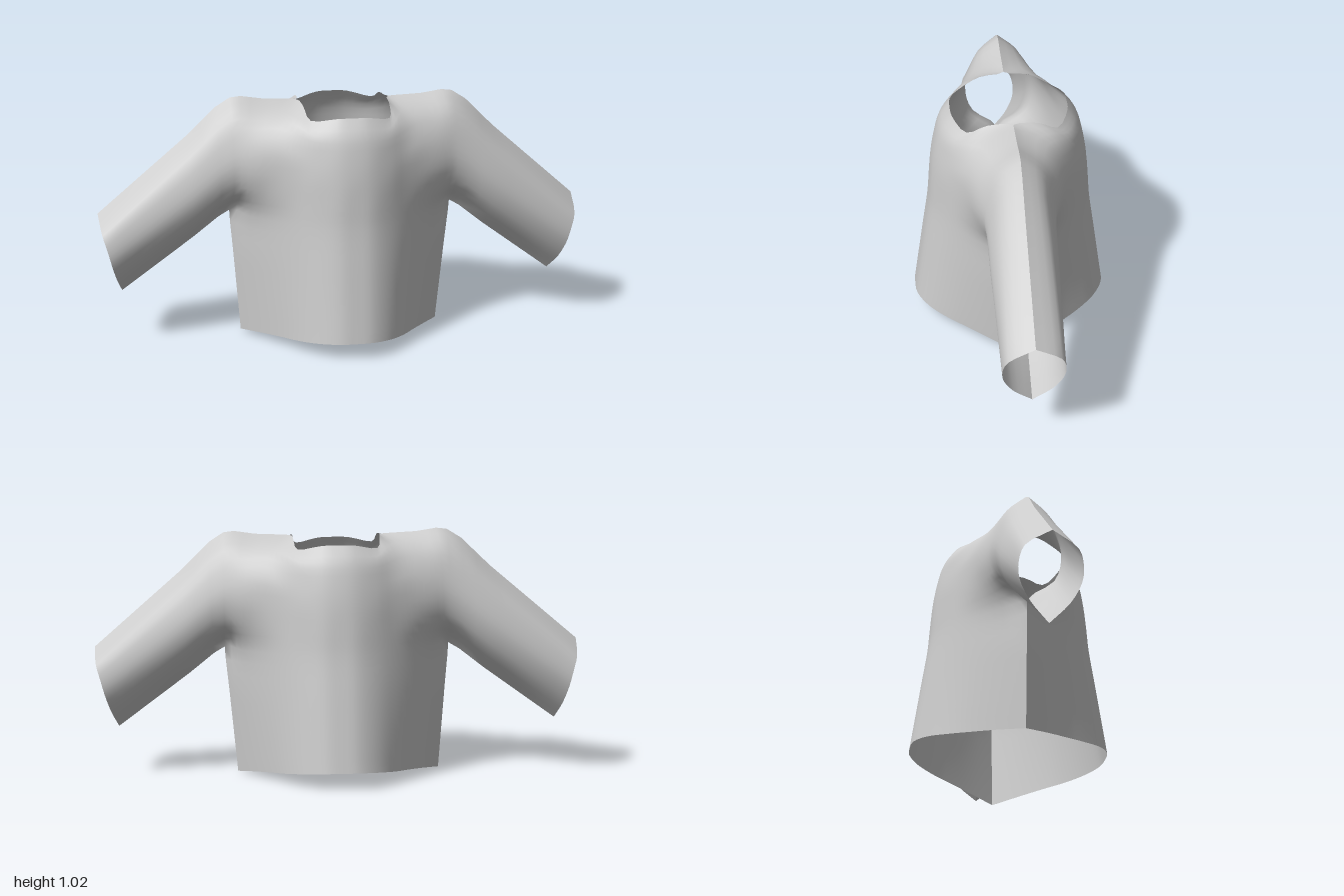
import * as THREE from 'three';

const STEPS = 3; // subdivisions between neighbouring control points
const ARMPIT_ROW = 5;
const V = (p) => new THREE.Vector3(...p);

// Control columns from the centre line out to the armpit, each from the neck or shoulder seam down to armpit height
const BODY = [
  [[0, 0.965, 0.235], [0, 0.9, 0.28], [0, 0.82, 0.302], [0, 0.73, 0.317], [0, 0.63, 0.325], [0, 0.53, 0.333]],
  [[0.065, 0.963, 0.23], [0.07, 0.9, 0.272], [0.07, 0.82, 0.295], [0.07, 0.73, 0.31], [0.07, 0.63, 0.32], [0.07, 0.53, 0.328]],
  [[0.16, 0.947, 0.18], [0.155, 0.9, 0.235], [0.15, 0.82, 0.262], [0.15, 0.73, 0.278], [0.15, 0.63, 0.285], [0.15, 0.53, 0.292]],
  [[0.176, 0.985, 0.1], [0.21, 0.925, 0.18], [0.22, 0.82, 0.222], [0.22, 0.73, 0.235], [0.225, 0.63, 0.236], [0.23, 0.53, 0.235]],
  [[0.192, 0.993, 0], [0.27, 0.94, 0.125], [0.29, 0.84, 0.185], [0.29, 0.73, 0.2], [0.3, 0.63, 0.19], [0.31, 0.53, 0.165]],
  [[0.33, 1.0, 0], [0.36, 0.935, 0.1], [0.37, 0.84, 0.155], [0.38, 0.73, 0.167], [0.385, 0.63, 0.14], [0.39, 0.53, 0.085]],
  [[0.46, 1.008, 0], [0.46, 0.935, 0.08], [0.46, 0.83, 0.125], [0.46, 0.73, 0.14], [0.46, 0.63, 0.11], [0.465, 0.535, 0]],
];
// Hem, one point under each body column
const HEM = [[0, 0.072, 0.4], [0.07, 0.071, 0.394], [0.15, 0.063, 0.35], [0.22, 0.05, 0.275],
  [0.275, 0.04, 0.2], [0.345, 0.026, 0.105], [0.42, 0.008, 0]];
// Cuff opening, from the sleeve top to its underside
const CUFF = [[1, 0.545, 0], [0.988, 0.48, 0.1], [0.97, 0.42, 0.12], [0.955, 0.36, 0.115], [0.935, 0.285, 0.075], [0.91, 0.21, 0]];

// Smooth samples through control points
function sample(points) {
  const n = (points.length - 1) * STEPS;
  return new THREE.CatmullRomCurve3(points, false, 'centripetal').getPoints(n);
}

// Half of the garment: body columns extended to the hem, then sleeve columns
function controlColumns() {
  const columns = BODY.map((column, i) => {
    const upper = column.map(V);
    const waist = upper[ARMPIT_ROW], hem = V(HEM[i]);
    const lower = [1 / 3, 2 / 3, 1].map((t) => waist.clone().lerp(hem, t));
    return [...upper, ...lower];
  });
  const armhole = BODY[BODY.length - 1].map(V);
  for (const t of [1 / 3, 2 / 3, 1]) {
    columns.push(armhole.map((p, r) => p.clone().lerp(V(CUFF[r]), t)));
  }
  return columns;
}

// One panel of cloth with both sleeve halves; side is 1 for front, -1 for back
function panelGeometry(side) {
  const half = controlColumns().map(sample);
  const mirrored = half.slice(1).reverse().map((col) => col.map((p) => new THREE.Vector3(-p.x, p.y, p.z)));
  const columns = [...mirrored, ...half];
  const rowCount = half[0].length;
  const sleeveOffset = 3 * STEPS;
  const positions = [], index = [], ids = [];

  for (let r = 0; r < rowCount; r++) {
    const upper = r <= ARMPIT_ROW * STEPS;
    const controls = columns.filter((col) => col.length > r).map((col) => col[r]);
    const offset = upper ? 0 : sleeveOffset; // rows below the armpit have no sleeve
    ids.push({});
    sample(controls).forEach((p, i) => {
      ids[r][i + offset] = positions.length / 3;
      positions.push(p.x, p.y, side * Math.max(0, p.z));
    });
  }
  const width = (columns.length - 1) * STEPS;
  for (let r = 0; r < rowCount - 1; r++) {
    for (let c = 0; c < width; c++) {
      const a = ids[r][c], b = ids[r][c + 1], d = ids[r + 1][c], e = ids[r + 1][c + 1];
      if ([a, b, d, e].includes(undefined)) continue;
      if (side > 0) index.push(a, d, b, b, d, e);
      else index.push(a, b, d, b, e, d);
    }
  }
  const geometry = new THREE.BufferGeometry();
  geometry.setAttribute('position', new THREE.Float32BufferAttribute(positions, 3));
  geometry.setIndex(index);
  geometry.computeVertexNormals();
  return geometry;
}

export function createModel() {
  const cloth = new THREE.MeshStandardMaterial({ color: 0xcccccc, side: THREE.DoubleSide });
  cloth.name = 'light grey cloth';

  const shirt = new THREE.Group();
  shirt.name = 'shirt';
  for (const [name, side] of [['frontPanel', 1], ['backPanel', -1]]) {
    const mesh = new THREE.Mesh(panelGeometry(side), cloth);
    mesh.name = name;
    shirt.add(mesh);
  }
  // The garment hangs with a slight tilt
  shirt.rotation.z = -0.013;
  shirt.position.x = -0.007;

  const model = new THREE.Group();
  model.name = 'longSleeveTop';
  model.add(shirt);
  return model;
}
